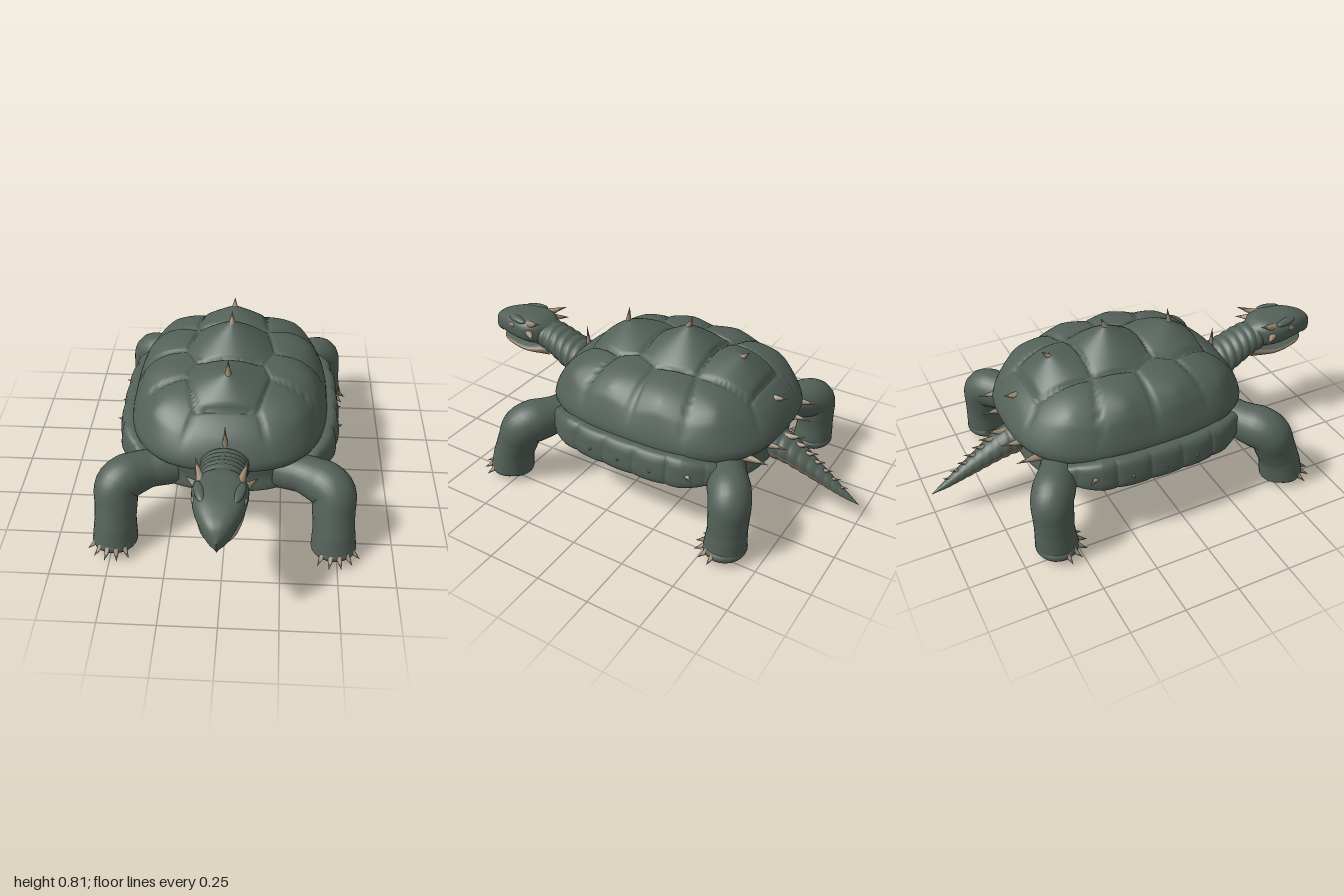
import * as THREE from 'three';

const mat = (name, color) => new THREE.MeshStandardMaterial({ name, color });
const V = (x, y, z) => new THREE.Vector3(x, y, z);

// Smooth surface from fn(u, v) -> [x, y, z]; u runs around, v along
function loft(nu, nv, fn, closed = true) {
  const pos = [], idx = [], cols = closed ? nu : nu + 1;
  for (let j = 0; j <= nv; j++)
    for (let i = 0; i < cols; i++) pos.push(...fn(i / nu, j / nv));
  for (let j = 0; j < nv; j++)
    for (let i = 0; i < nu; i++) {
      const k = (i + 1) % cols, a = j * cols + i, b = j * cols + k;
      idx.push(a, b, b + cols, a, b + cols, a + cols);
    }
  const g = new THREE.BufferGeometry();
  g.setAttribute('position', new THREE.Float32BufferAttribute(pos, 3));
  g.setIndex(idx);
  g.computeVertexNormals();
  return g;
}

// Point on a rounded oval outline
function oval(a, hw, hl, cz, rho, n = 2.8) {
  const c = Math.cos(a), s = Math.sin(a);
  const r = rho * Math.pow(Math.abs(c) ** n + Math.abs(s) ** n, -1 / n);
  return [hw * r * c, cz + hl * r * s];
}

// Body lofted along z; stations are [z, centreY, halfWidth, halfHeight], z rising.
// a0..a1 is the arc in degrees, box > 2 squares the section
function spine(stations, { a0 = 0, a1 = 360, rings = 0, amp = 0, box = 2 } = {}) {
  const c1 = new THREE.CatmullRomCurve3(stations.map(s => V(s[0], s[1], s[2])), false, 'catmullrom');
  const c2 = new THREE.CatmullRomCurve3(stations.map(s => V(s[3], 0, 0)), false, 'catmullrom');
  return loft(40, rings ? rings * 8 : 40, (u, v) => {
    const p = c1.getPoint(v), ry = c2.getPoint(v).x;
    const a = THREE.MathUtils.degToRad(a0 + (a1 - a0) * u), c = Math.cos(a), s = Math.sin(a);
    const k = (1 + amp * (Math.abs(Math.sin(v * rings * Math.PI)) - 0.5))
      * (Math.abs(c) ** box + Math.abs(s) ** box) ** (-1 / box);
    return [p.z * k * c, p.y + ry * k * s, p.x];
  }, a1 - a0 === 360);
}

// Tapering limb; stations are [x, y, z, radius]
function limb(stations) {
  const n = 40, curve = new THREE.CatmullRomCurve3(stations.map(s => V(s[0], s[1], s[2])));
  const f = curve.computeFrenetFrames(n);
  return loft(28, n, (u, v) => {
    const j = Math.round(v * n), t = v * (stations.length - 1), i = Math.min(Math.floor(t), stations.length - 2);
    const r = THREE.MathUtils.lerp(stations[i][3], stations[i + 1][3], t - i);
    const a = u * Math.PI * 2;
    return curve.getPointAt(v)
      .addScaledVector(f.normals[j], r * Math.cos(a))
      .addScaledVector(f.binormals[j], r * Math.sin(a)).toArray();
  });
}

export function createModel() {
  const root = new THREE.Group();
  root.name = 'spikedTurtle';
  const skin = mat('darkGreenSkin', 0x536058);
  const belly = mat('brownBelly', 0x857662);
  const horn = mat('tanHorn', 0x9c8c74);

  const add = (name, geo, m) => {
    const mesh = new THREE.Mesh(geo, m);
    mesh.name = name;
    root.add(mesh);
    return mesh;
  };
  const blob = (name, m, p, s) => {
    const b = add(name, new THREE.SphereGeometry(1, 24, 16), m);
    b.position.set(...p);
    b.scale.set(...s);
    return b;
  };
  const spike = (name, from, to, r) => {
    const a = V(...from), d = V(...to).sub(a), len = d.length();
    const s = add(name, new THREE.ConeGeometry(r, len, 8).translate(0, len / 2, 0), horn);
    s.position.copy(a);
    s.quaternion.setFromUnitVectors(V(0, 1, 0), d.normalize());
  };

  // Domed shell: peaked scutes [x, z, height] separated by grooves
  const scutes = [[0, 0.43, 0.01], [0, 0.19, 0.075], [0, -0.13, 0.115], [0, -0.4, 0.075], [0, -0.62, 0.02]];
  for (const s of [-1, 1])
    scutes.push([s * 0.31, 0.28, 0.035], [s * 0.37, 0.04, 0.045], [s * 0.37, -0.2, 0.045], [s * 0.3, -0.44, 0.035]);
  add('shell', loft(168, 76, (u, v) => {
    const rho = v <= 0.95 ? v / 0.95 : 1 - (v - 0.95) * 2.4;
    const [x, z] = oval(u * Math.PI * 2, 0.455, 0.56, -0.08, rho);
    if (v > 0.95) return [x, 0.375, z];
    let d1 = 9, d2 = 9, h = 0;
    for (const [sx, sz, sh] of scutes) {
      const d = Math.hypot(x - sx, z - sz);
      if (d < d1) { d2 = d1; d1 = d; h = sh; } else if (d < d2) d2 = d;
    }
    const bump = h * Math.max(0, 1 - d1 / 0.19);
    const groove = 0.01 * Math.exp(-(((d2 - d1) / 0.014) ** 2));
    return [x, 0.385 + 0.265 * Math.max(0, 1 - rho ** 2.7) ** 0.62 + (bump - groove) * Math.min(1, (1 - rho) * 9), z];
  }), skin);

  // Soft body between shell and underside
  const bodyRings = [[0.5, 0.42], [0.9, 0.41], [0.99, 0.37], [1, 0.31], [1.02, 0.25], [0.94, 0.232], [0.8, 0.23]];
  const bodyCurve = new THREE.CatmullRomCurve3(bodyRings.map(r => V(r[0], r[1], 0)), false, 'catmullrom');
  add('body', loft(72, 36, (u, v) => {
    const p = bodyCurve.getPoint(v);
    const [x, z] = oval(u * Math.PI * 2, 0.42, 0.51, -0.07, p.x);
    return [x, p.y, z];
  }), skin);

  // Underside plates with a grid of grooves
  add('underside', loft(144, 64, (u, v) => {
    const [x, z] = oval(-u * Math.PI * 2, 0.432, 0.522, -0.07, v);
    const zLine = Math.abs(((z + 2.04) % 0.16) - 0.08);
    const xLine = Math.min(Math.abs(x), Math.abs(Math.abs(x) - 0.24));
    const groove = 0.009 * Math.exp(-((Math.min(xLine, zLine) / 0.009) ** 2));
    return [x, 0.163 + 0.03 * v * v + 0.057 * v ** 8 + groove * (1 - v ** 6), z];
  }), belly);

  // Rim of plates along both flanks, pinched between plates and tapered at the ends
  for (const s of [-1, 1]) {
    add('rimPlates', loft(28, 156, (u, v) => {
      const z = 0.4 - 0.95 * v, t = Math.abs((z + 0.08) / 0.56);
      const x = 0.455 * (1 - t ** 2.8) ** (1 / 2.8);
      const slope = 0.8125 * Math.sign(z + 0.08) * (t / (x / 0.455)) ** 1.8;
      const len = Math.hypot(1, slope), a = -s * u * Math.PI * 2, c = Math.cos(a), d = Math.sin(a);
      const plate = 0.68 + 0.32 * Math.abs(Math.sin(Math.PI * (z - 0.3) / 0.15)) ** 0.3;
      const taper = Math.sqrt(Math.min(1, v * 5, (1 - v) * 5));
      const k = taper * (c ** 4 + d ** 4) ** -0.25;
      const out = 0.05 * k * plate * c - 0.012 * d;
      return [s * (x + 0.008 + out / len), 0.335 + 0.068 * k * d, z + out * slope / len];
    }), skin);
    for (const z of [0.07, -0.075, -0.235])
      spike('rimSpike', [s * 0.49, 0.325, z], [s * 0.53, 0.33, z - 0.01], 0.013);
    spike('rimSpike', [s * 0.45, 0.335, -0.37], [s * 0.5, 0.34, -0.44], 0.018);
    spike('rearSpike', [s * 0.13, 0.365, -0.57], [s * 0.125, 0.37, -0.7], 0.022);
    spike('rearSpike', [s * 0.255, 0.365, -0.55], [s * 0.265, 0.37, -0.675], 0.022);
  }

  // Spikes on the shell ridge
  spike('shellSpike', [0, 0.48, 0.425], [0, 0.6, 0.432], 0.014);
  spike('shellSpike', [0, 0.685, 0.192], [0, 0.765, 0.182], 0.016);
  spike('shellSpike', [0, 0.74, -0.125], [0, 0.805, -0.15], 0.019);
  spike('shellSpike', [0, 0.67, -0.395], [0, 0.71, -0.435], 0.017);
  spike('shellSpike', [0, 0.52, -0.565], [0, 0.535, -0.625], 0.017);

  // Ringed neck with a pale throat
  const neck = [[0.33, 0.35, 0.11, 0.1], [0.42, 0.375, 0.108, 0.105], [0.52, 0.43, 0.1, 0.085],
    [0.62, 0.475, 0.09, 0.075], [0.72, 0.5, 0.08, 0.06]];
  add('neck', spine(neck, { a0: -25, a1: 205, rings: 10, amp: 0.08 }), skin);
  add('throat', spine(neck, { a0: 205, a1: 335, rings: 10, amp: 0.08 }), belly);

  // Angular head with hooked beak, open lower jaw, brows, eyes and horns
  add('head', spine([[0.64, 0.505, 0.05, 0.045], [0.69, 0.513, 0.095, 0.064], [0.75, 0.517, 0.114, 0.067],
    [0.84, 0.519, 0.102, 0.063], [0.91, 0.511, 0.076, 0.055], [0.965, 0.492, 0.043, 0.048], [1, 0.468, 0.001, 0.02]],
  { box: 2.8 }), skin);
  const beak = add('beak', new THREE.ConeGeometry(0.028, 0.08, 16), skin);
  beak.position.set(0, 0.457, 0.97);
  beak.rotation.x = Math.PI - 0.2;
  const jaw = [[0.62, 0.435, 0.075, 0.045], [0.74, 0.422, 0.1, 0.026], [0.86, 0.423, 0.078, 0.018],
    [0.92, 0.427, 0.045, 0.013], [0.945, 0.43, 0.001, 0.002]];
  add('mouthFloor', spine(jaw, { a0: 25, a1: 155 }), skin);
  add('lowerJaw', spine(jaw, { a0: 155, a1: 385 }), belly);
  for (const s of [-1, 1]) {
    blob('brow', skin, [s * 0.078, 0.567, 0.8], [0.022, 0.016, 0.06]).rotation.y = -s * 0.25;
    blob('eye', belly, [s * 0.1, 0.54, 0.82], [0.01, 0.013, 0.02]).rotation.y = -s * 0.25;
    spike('headHorn', [s * 0.075, 0.55, 0.74], [s * 0.108, 0.597, 0.632], 0.022);
    spike('cheekHorn', [s * 0.095, 0.522, 0.72], [s * 0.148, 0.515, 0.655], 0.02);
  }

  // Ringed tail with a pale underside and a row of spikes
  const tail = [[-1, 0.11, 0.001, 0.001], [-0.92, 0.148, 0.02, 0.02], [-0.8, 0.21, 0.042, 0.042],
    [-0.65, 0.285, 0.072, 0.065], [-0.5, 0.32, 0.09, 0.08]];
  add('tail', spine(tail, { a0: -10, a1: 190, rings: 14, amp: 0.06 }), skin);
  add('tailUnderside', spine(tail, { a0: 190, a1: 350, rings: 14, amp: 0.06 }), belly);
  for (let i = 0; i < 7; i++) {
    const z = -0.63 - i * 0.045, y = 0.34 - i * 0.029, k = 1 - i * 0.09;
    spike('tailSpike', [0, y, z], [0, y + 0.028 * k, z - 0.095 * k], 0.02 * k);
  }

  // Legs, feet and claws
  for (const s of [-1, 1]) {
    const legs = [
      ['front', 0.485, 0.555, 0.25, [[0.24, 0.3, 0.34, 0.09], [0.38, 0.302, 0.4, 0.085], [0.47, 0.285, 0.465, 0.1],
        [0.478, 0.2, 0.505, 0.096], [0.482, 0.12, 0.535, 0.092], [0.485, 0.045, 0.55, 0.1]]],
      ['rear', 0.468, -0.59, 0.55, [[0.24, 0.29, -0.46, 0.09], [0.36, 0.3, -0.535, 0.085], [0.445, 0.28, -0.59, 0.093],
        [0.46, 0.2, -0.595, 0.09], [0.466, 0.12, -0.595, 0.086], [0.468, 0.045, -0.59, 0.094]]],
    ];
    for (const [name, fx, fz, turn, path] of legs) {
      add(name + 'Leg', limb(path.map(([x, y, z, r]) => [s * x, y, z, r])), skin);
      blob(name + 'Foot', skin, [s * fx, 0.046, fz], [0.101, 0.046, 0.095]);
      for (let i = -2; i <= 2; i++) {
        const a = turn + i * 0.43, dx = s * Math.sin(a), dz = Math.cos(a);
        spike(name + 'Claw', [s * fx + dx * 0.075, 0.055, fz + dz * 0.07],
          [s * fx + dx * 0.128, 0.024, fz + dz * 0.135], 0.019);
      }
    }
  }
  return root;
}
